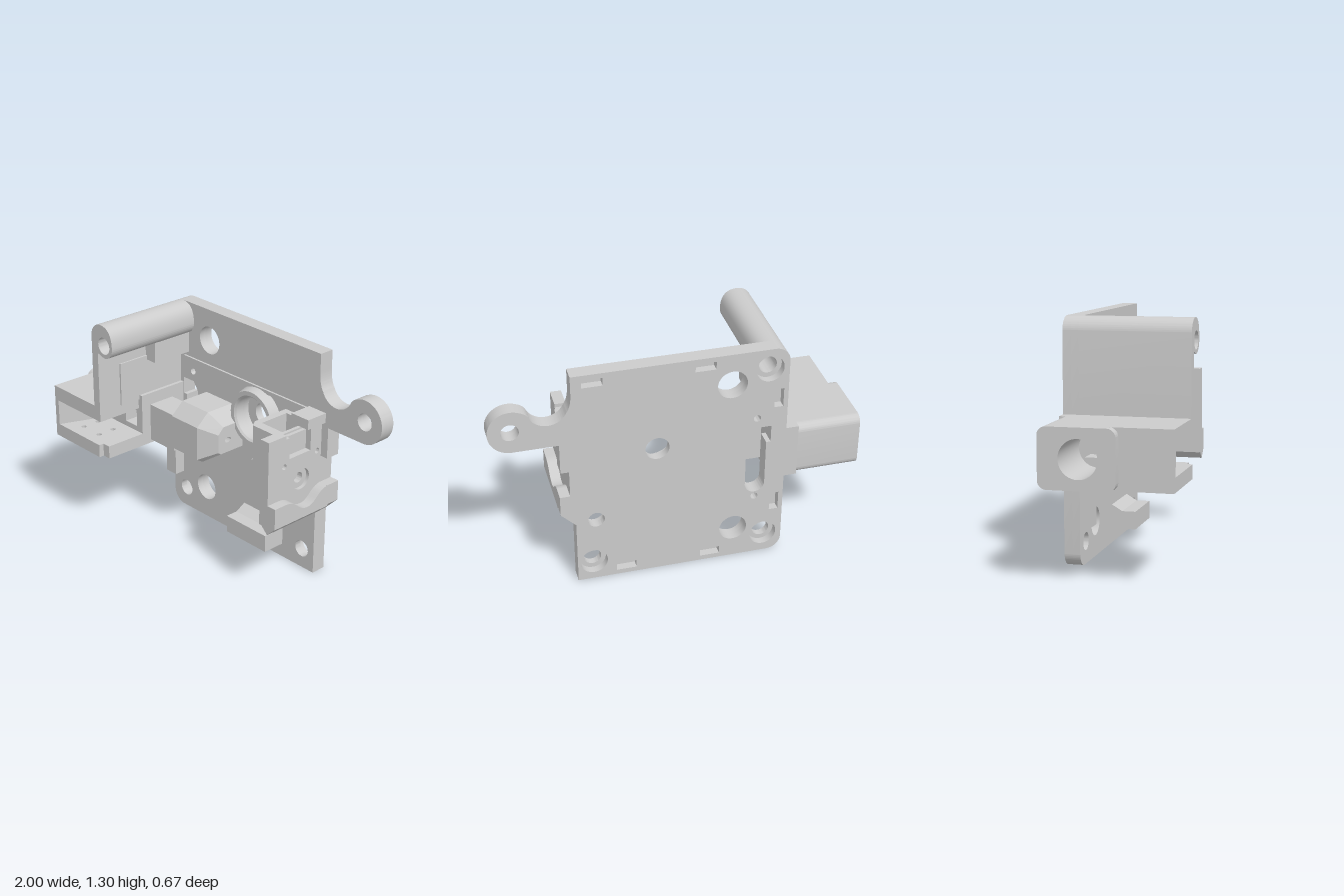
import * as THREE from 'three';
import { toCreasedNormals } from 'three/addons/utils/BufferGeometryUtils.js';

const material = new THREE.MeshStandardMaterial({ color: 0xcccccc, side: THREE.DoubleSide });

function outline(points) {
  return new THREE.Shape(points.map(([a, b]) => new THREE.Vector2(a, b)));
}
function circle(x, y, r) {
  return new THREE.Path().absarc(x, y, r, 0, Math.PI * 2, true);
}
function rectHole(x, y, w, h) {
  return new THREE.Path([[-1, -1], [-1, 1], [1, 1], [1, -1]].map(
    ([a, b]) => new THREE.Vector2(x + a * w / 2, y + b * h / 2)));
}
function extrude(shape, from, to) {
  const g = new THREE.ExtrudeGeometry(shape, { depth: to - from, bevelEnabled: false, curveSegments: 20 });
  return g.translate(0, 0, from);
}
// Shapes for alongX are drawn in (-z, y), for alongY in (x, -z)
const alongZ = (shape, from, to) => extrude(shape, from, to);
const alongX = (shape, from, to) => extrude(shape, from, to).rotateY(Math.PI / 2);
const alongY = (shape, from, to) => extrude(shape, from, to).rotateX(-Math.PI / 2);
const zy = (points) => outline(points.map(([z, y]) => [-z, y]));
const xz = (points) => outline(points.map(([x, z]) => [x, -z]));

function roundedRect(x0, y0, x1, y1, r) {
  const s = new THREE.Shape();
  s.absarc(x1 - r, y0 + r, r, -Math.PI / 2, 0);
  s.absarc(x1 - r, y1 - r, r, 0, Math.PI / 2);
  s.absarc(x0 + r, y1 - r, r, Math.PI / 2, Math.PI);
  s.absarc(x0 + r, y0 + r, r, Math.PI, Math.PI * 1.5);
  return s;
}

// Plate outline with the hooked arm on its left side
function plateShape() {
  const s = new THREE.Shape();
  s.moveTo(-0.5, 0);
  for (const [x, y] of [[0.57, 0], [0.57, 0.38], [0.65, 0.46], [0.65, 0.575], [0.595, 0.575],
    [0.595, 0.73], [0.64, 0.73], [0.64, 0.905]]) s.lineTo(x, y);
  s.absarc(0.88, 1.025, 0.12, -Math.PI / 2, 2, false);
  s.quadraticCurveTo(0.795, 1.12, 0.787, 1.099);
  s.absarc(0.69, 1.14, 0.105, -0.4, -Math.PI + 0.4, true);
  s.quadraticCurveTo(0.57, 1.13, 0.57, 1.2);
  s.lineTo(0.57, 1.3);
  s.lineTo(-0.5, 1.3);
  s.absarc(-0.5, 1.22, 0.08, Math.PI / 2, Math.PI, false);
  s.lineTo(-0.58, 0.08);
  s.absarc(-0.5, 0.08, 0.08, Math.PI, Math.PI * 1.5, false);
  // plain holes
  for (const [x, y, r] of [[-0.275, 1.12, 0.08], [-0.3, 0.19, 0.077], [0.885, 1.025, 0.047],
    [-0.415, 0.385, 0.02], [-0.415, 0.89, 0.02]]) s.holes.push(circle(x, y, r));
  // stepped slot
  const slot = new THREE.Path();
  slot.moveTo(-0.36, 0.47);
  for (const [x, y] of [[-0.36, 0.73], [-0.375, 0.73], [-0.375, 0.78], [-0.41, 0.83],
    [-0.495, 0.83], [-0.495, 0.73], [-0.47, 0.73], [-0.47, 0.47]]) slot.lineTo(x, y);
  slot.absarc(-0.415, 0.47, 0.055, Math.PI, Math.PI * 2, false);
  s.holes.push(slot);
  return s;
}

export function createModel() {
  const group = new THREE.Group();
  const add = (name, geometry) => {
    const mesh = new THREE.Mesh(toCreasedNormals(geometry, 0.5), material);
    mesh.name = name;
    group.add(mesh);
    return mesh;
  };
  const box = (name, x0, x1, y0, y1, z0, z1) => add(name,
    new THREE.BoxGeometry(x1 - x0, y1 - y0, z1 - z0).translate((x0 + x1) / 2, (y0 + y1) / 2, (z0 + z1) / 2));

  // Plate: front layer with plain holes, back layer with counterbores and pockets
  const corners = [[-0.475, 1.185], [-0.475, 0.12], [0.48, 0.115]];
  const front = plateShape(), back = plateShape();
  for (const [x, y] of corners) {
    front.holes.push(circle(x, y, 0.048));
    back.holes.push(circle(x, y, 0.075));
  }
  front.holes.push(circle(0.46, 0.395, 0.06), circle(0.125, 0.795, 0.125));
  back.holes.push(circle(0.46, 0.395, 0.045), circle(0.125, 0.795, 0.065));
  for (const [x, y] of [[0.46, 1.25], [-0.13, 1.25], [0.3, 0.05], [-0.17, 0.05]])
    back.holes.push(rectHole(x, y, 0.11, 0.045));
  for (const y of [1.0, 0.33]) back.holes.push(rectHole(-0.53, y, 0.05, 0.11));
  add('plateFront', alongZ(front, -0.29, -0.25));
  add('plateBack', alongZ(back, -0.335, -0.29));

  // Bearing ring
  const ring = [[0.125, -0.29], [0.125, -0.2], [0.135, -0.19], [0.16, -0.19], [0.175, -0.25]]
    .map(([r, z]) => new THREE.Vector2(r, z));
  add('bearingRing', new THREE.LatheGeometry(ring, 48).rotateX(Math.PI / 2).translate(0.125, 0.795, 0));

  // Ribs and ledge on the plate
  box('plateRib', -0.48, 0.6, 0.952, 0.975, -0.255, -0.238);
  box('sideStrip', -0.58, -0.5, 0.22, 0.5, -0.25, -0.185);
  add('ledge', alongX(zy([[-0.25, 0.08], [-0.115, 0.08], [-0.115, 0.18], [-0.19, 0.18], [-0.25, 0.215]]), 0.02, 0.33));

  // Side wall with the screw tube along its top
  const wall = new THREE.Shape();
  wall.moveTo(-0.58, 0.715);
  wall.lineTo(-0.53, 0.715);
  wall.lineTo(-0.53, 1.13);
  wall.lineTo(-0.5, 1.12);
  wall.absarc(-0.475, 1.185, 0.07, -Math.PI / 2, 0, false);
  wall.quadraticCurveTo(-0.405, 1.3, -0.5, 1.3);
  wall.absarc(-0.5, 1.22, 0.08, Math.PI / 2, Math.PI, false);
  wall.holes.push(circle(-0.475, 1.185, 0.048));
  add('sideWall', alongZ(wall, -0.28, 0.335));
  box('wallBlock', -0.54, -0.45, 1.0, 1.12, -0.25, 0);
  box('wallPad', -0.555, -0.52, 0.775, 1.025, -0.25, 0.19);

  // Sensor housing: rounded rear body with a bore along x
  const axisY = 0.645, axisZ = -0.13;
  const inlet = roundedRect(-0.06, 0.49, 0.335, 0.8, 0.045);
  inlet.holes.push(circle(-axisZ, axisY, 0.1));
  add('housingInlet', alongX(inlet, -1, -0.65));
  add('housingWindow', alongX(zy([[-0.335, 0.49], [0.06, 0.49], [0.06, 0.595], [-0.2, 0.595],
    [-0.2, 0.695], [0.06, 0.695], [0.06, 0.8], [-0.335, 0.8]]), -0.65, -0.55));
  const neck = zy([[-0.335, 0.49], [0.06, 0.49], [0.06, 0.8], [-0.335, 0.8]]);
  neck.holes.push(circle(-axisZ, axisY, 0.04));
  add('housingNeck', alongX(neck, -0.55, -0.5));

  // Sensor housing: open front pocket
  const floor = xz([[-0.95, 0.0], [-0.95, 0.335], [-0.55, 0.335], [-0.55, 0.305], [-0.5, 0.305], [-0.5, 0.0]]);
  for (const x of [-0.8, -0.66]) for (const z of [0.15, 0.25]) floor.holes.push(circle(x, -z, 0.015));
  add('pocketFloor', alongY(floor, 0.49, 0.565));
  box('pocketRoof', -0.95, -0.53, 0.715, 0.8, 0, 0.335);
  add('pocketSide', alongY(xz([[-0.95, 0.04], [-0.95, 0.335], [-0.92, 0.335], [-0.81, 0.04]]), 0.55, 0.73));

  // Guide barrel, tapered toward the centre
  const bridge = zy([[-0.165, 0.51], [0, 0.51], [0, 0.73], [-0.165, 0.73]]);
  bridge.holes.push(circle(-axisZ, axisY, 0.03));
  add('barrelBridge', alongX(bridge, -0.5, -0.3));
  const barrel = zy([[-0.25, 0.51], [-0.03, 0.51], [0.01, 0.535], [0.01, 0.73], [-0.07, 0.8], [-0.25, 0.8]]);
  barrel.holes.push(circle(-axisZ, axisY, 0.03));
  add('barrel', alongX(barrel, -0.3, -0.09));
  const nose = alongX(barrel, -0.09, 0);
  const p = nose.attributes.position;
  for (let i = 0; i < p.count; i++) {
    if (p.getX(i) < -0.01) continue;
    p.setY(i, axisY + (p.getY(i) - axisY) * 0.55);
    if (p.getZ(i) > axisZ) p.setZ(i, axisZ + (p.getZ(i) - axisZ) * 0.45);
  }
  add('barrelNose', nose);

  // Idler block with a pocket open at the top
  const block = xz([[0.33, -0.25], [0.33, -0.02], [0.36, 0.02], [0.54, 0.02], [0.54, -0.25]]);
  add('idlerBase', alongY(block, 0.53, 0.72));
  const cup = block.clone();
  cup.holes = [rectHole(0.445, 0.125, 0.15, 0.18)];
  add('idlerCup', alongY(cup, 0.72, 0.91));
  add('idlerShoulder', alongX(zy([[-0.25, 0.53], [-0.02, 0.53], [-0.02, 0.68], [-0.07, 0.72], [-0.25, 0.74]]), 0.31, 0.34));
  add('idlerChamfer', alongY(xz([[0.26, -0.25], [0.26, -0.18], [0.32, -0.02], [0.34, -0.02], [0.34, -0.25]]), 0.53, 0.72));

  // Side panel with notch and bore
  const panel = zy([[-0.26, 0.44], [0.135, 0.44], [0.135, 0.93], [0.01, 0.93], [0.01, 0.91], [-0.015, 0.91],
    [-0.015, 0.79], [-0.17, 0.79], [-0.17, 0.93], [-0.26, 0.93]]);
  panel.holes.push(circle(0.105, axisY, 0.03));
  const collar = panel.clone();
  collar.holes = [circle(0.105, axisY, 0.06), circle(-0.02, 0.755, 0.016), circle(0.22, 0.77, 0.016)];
  add('sidePanel', alongX(panel, 0.535, 0.575));
  add('sidePanelFace', alongX(collar, 0.575, 0.595));
  box('panelInner', 0.525, 0.56, 0.77, 0.9, -0.25, 0);
  box('panelTop', 0.5, 0.62, 0.93, 0.985, -0.25, -0.12);

  // Lip along the bottom of the panel, dipped below the bore
  const lip = zy([[0.135, 0.45], [-0.26, 0.45]]);
  lip.lineTo(0.26, 0.575);
  lip.bezierCurveTo(0.18, 0.575, 0.17, 0.5, 0.105, 0.5);
  lip.bezierCurveTo(0.03, 0.5, 0.03, 0.57, -0.06, 0.57);
  lip.lineTo(-0.135, 0.57);
  add('panelLip', alongX(lip, 0.59, 0.65));
  add('lipUnderside', alongZ(outline([[0.535, 0.455], [0.595, 0.398], [0.65, 0.453], [0.6, 0.46], [0.535, 0.53]]), -0.26, 0.135));
  return group;
}
